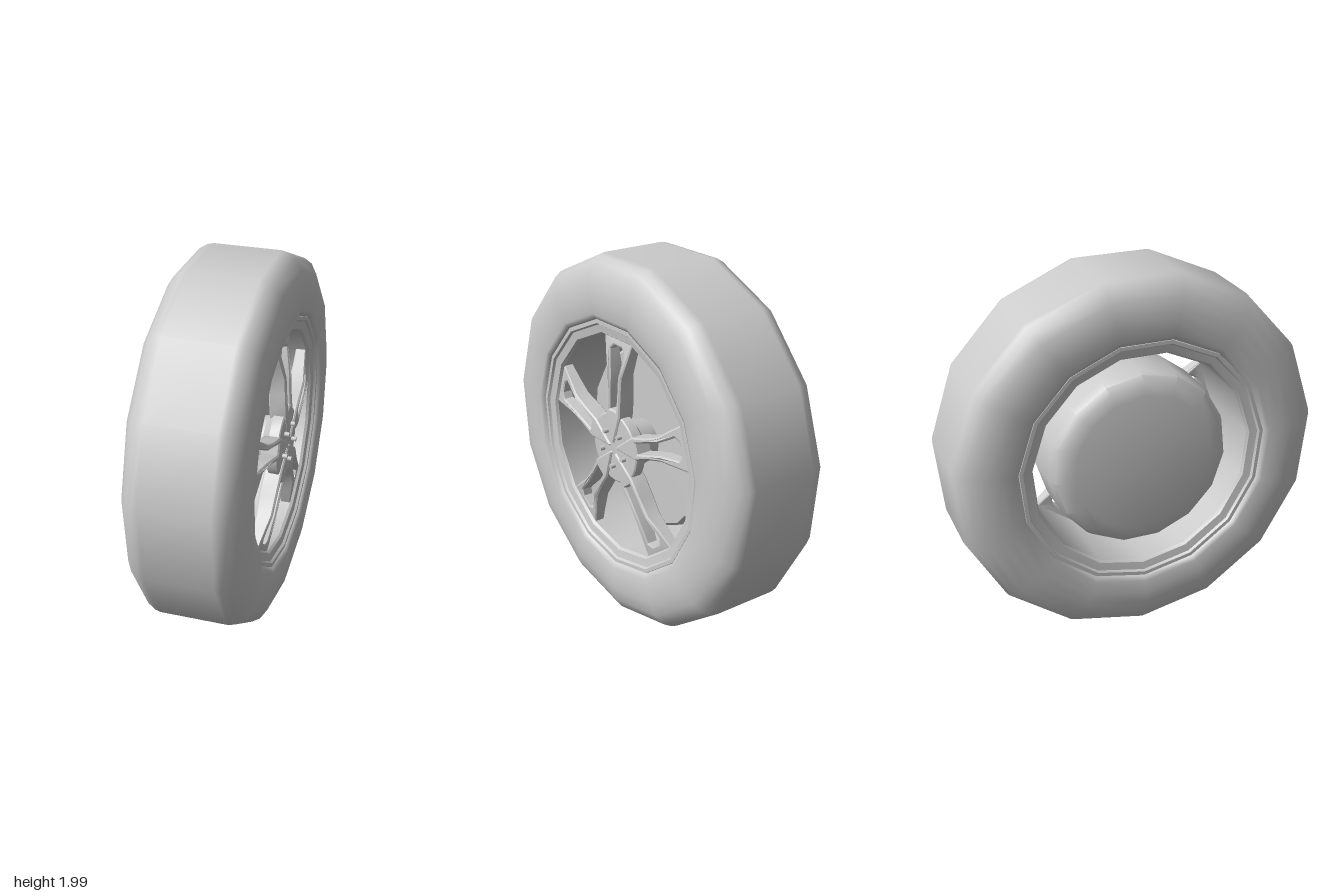
import * as THREE from 'three';
import { toCreasedNormals } from 'three/addons/utils/BufferGeometryUtils.js';

const TYRE_R = 1.0055;
const material = new THREE.MeshStandardMaterial({ color: 0xcccccc });

function part(name, geometry, parent) {
  const mesh = new THREE.Mesh(geometry, material);
  mesh.name = name;
  parent.add(mesh);
  return mesh;
}

// Revolve [radius, z] points about the z axis, first vertex at the bottom
function revolve(points, sides, crease) {
  const g = new THREE.LatheGeometry(points.map(([r, z]) => new THREE.Vector2(r, z)), sides);
  g.rotateX(Math.PI / 2);
  return crease ? toCreasedNormals(g, crease) : g;
}

// Reverse a profile and flip it to the other side of the wheel
const mirrored = (points) => points.map(([r, z]) => [r, -z]).reverse();

// Symmetric outline from [half width, radius] pairs
function outline(pairs, Type) {
  const right = pairs.map(([w, r]) => new THREE.Vector2(w, r));
  const left = pairs.map(([w, r]) => new THREE.Vector2(-w, r)).reverse();
  return new Type([...right, ...left]);
}

// Forked spoke pointing up, swept back and thinning towards the rim
function spokeGeometry() {
  const shape = outline([
    [0.006, 0.03], [0.06, 0.19], [0.056, 0.3], [0.062, 0.4],
    [0.092, 0.49], [0.122, 0.592], [0.06, 0.604],
  ], THREE.Shape);
  shape.holes.push(outline([
    [0.028, 0.215], [0.031, 0.3], [0.033, 0.4], [0.06, 0.525], [0.034, 0.552],
  ], THREE.Path));
  const depth = 0.08;
  const g = new THREE.ExtrudeGeometry(shape, {
    depth, bevelEnabled: true, bevelSize: 0.008, bevelOffset: -0.008,
    bevelThickness: 0.008, bevelSegments: 1,
  });
  g.translate(0, 0, -depth);
  const p = g.attributes.position;
  for (let i = 0; i < p.count; i++) {
    const r = p.getY(i);
    const inner = 0.012 * THREE.MathUtils.smoothstep(r, 0.15, 0.4);
    const outer = 0.16 * Math.max(0, r - 0.4);
    const thickness = 1 - 0.4 * THREE.MathUtils.smoothstep(r, 0.3, 0.6);
    p.setZ(i, p.getZ(i) * thickness + 0.287 - inner - outer);
  }
  return toCreasedNormals(g, 0.5);
}

export function createModel() {
  const model = new THREE.Group();
  model.name = 'wheel';
  // Built with the axle along z, then turned so the spoked side faces +x
  const wheel = new THREE.Group();
  wheel.name = 'wheelAssembly';
  wheel.rotation.y = Math.PI / 2;
  wheel.position.y = TYRE_R;
  model.add(wheel);

  // Tyre: mirrored sidewall profile
  const sidewall = [
    [TYRE_R, 0.18], [0.998, 0.212], [0.972, 0.255], [0.915, 0.29], [0.845, 0.306],
    [0.78, 0.309], [0.71, 0.303], [0.685, 0.29], [0.675, 0.25],
  ];
  part('tyre', revolve([...mirrored(sidewall), ...sidewall], 15), wheel);

  // Rim: lip, flat ring and barrel, alike on both sides
  const rimEdge = [
    [0.685, 0.265], [0.68, 0.285], [0.66, 0.285], [0.652, 0.272], [0.61, 0.265], [0.6, 0.25],
  ];
  part('rim', revolve([...rimEdge, ...mirrored(rimEdge)], 15, 0.5), wheel);

  // Brake drum behind the spokes
  const drum = part('brakeDrum', revolve([
    [0, -0.275], [0.38, -0.273], [0.44, -0.26], [0.478, -0.23], [0.494, -0.185],
    [0.494, 0.06], [0.478, 0.08], [0, 0.08],
  ], 15, 0.6), wheel);
  drum.rotation.z = Math.PI;

  // Hub, narrowing towards the drum
  part('hub', revolve([
    [0.11, 0.07], [0.13, 0.18], [0.19, 0.225], [0.192, 0.276], [0.185, 0.282], [0, 0.287],
  ], 30, 0.6), wheel);

  // Five spokes, with a bolt between each pair
  const spoke = spokeGeometry();
  const bolt = new THREE.CylinderGeometry(0.012, 0.013, 0.04, 10);
  bolt.rotateX(Math.PI / 2);
  bolt.translate(0, -0.1, 0.29);
  for (let i = 0; i < 5; i++) {
    const turn = (i * Math.PI * 2) / 5;
    part('spoke', spoke, wheel).rotation.z = turn;
    part('wheelBolt', bolt, wheel).rotation.z = turn;
  }
  return model;
}
